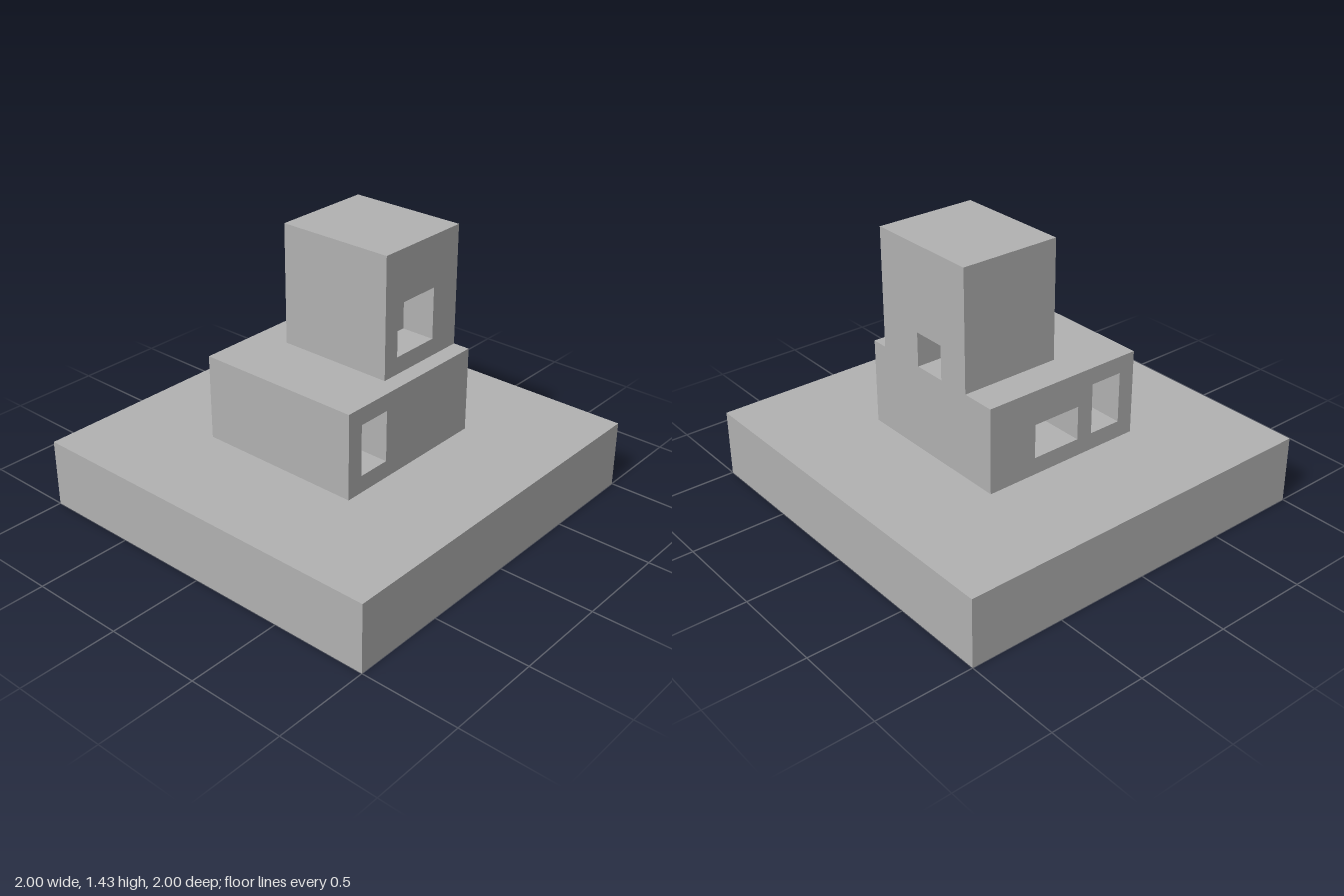
import * as THREE from 'three';

const U = 2 / 22.4; // module size: the walls and openings follow this grid

export function createModel() {
  const group = new THREE.Group();
  const grey = new THREE.MeshStandardMaterial({ color: 0xb2b2b2 });
  grey.name = 'stone grey';

  const add = (name, geometry) => {
    const mesh = new THREE.Mesh(geometry, grey);
    mesh.name = name;
    group.add(mesh);
    return mesh;
  };

  // Box from its lower and upper corners
  const box = (name, [x0, y0, z0], [x1, y1, z1]) =>
    add(name, new THREE.BoxGeometry(x1 - x0, y1 - y0, z1 - z0)
      .translate((x0 + x1) / 2, (y0 + y1) / 2, (z0 + z1) / 2));

  const corners = (x0, y0, x1, y1) =>
    [[x0, y0], [x1, y0], [x1, y1], [x0, y1]].map(([x, y]) => new THREE.Vector2(x, y));

  // Upright slab with rectangular openings, extruded along z
  const slab = (name, rect, openings, z0, z1) => {
    const shape = new THREE.Shape(corners(...rect));
    for (const o of openings) shape.holes.push(new THREE.Path(corners(...o)));
    const geometry = new THREE.ExtrudeGeometry(shape, { depth: z1 - z0, bevelEnabled: false });
    return add(name, geometry.translate(0, 0, z0));
  };

  const baseTop = 4 * U, blockTop = 9 * U, towerTop = 16 * U;

  // Square plinth
  box('base', [-1, 0, -1], [1, baseTop, 1]);

  // Lower block: passage right through, plus a shallow recess at the back
  const blockRect = [-5 * U, baseTop, 5 * U, blockTop];
  const passage = [-4 * U, 5 * U, -2 * U, 8 * U];
  const recess = [-U, 5 * U, 2 * U, 7 * U];
  slab('lowerBlockFront', blockRect, [passage], -2 * U, 5 * U);
  slab('lowerBlockBack', blockRect, [passage, recess], -5 * U, -2 * U);

  // Tower front wall with its square window
  slab('towerFront', [-U, blockTop, 5 * U, towerTop], [[0, 10 * U, 3 * U, 13 * U]], 2 * U, 4 * U);

  // Tower core
  box('towerCore', [-U, blockTop, -3 * U], [3 * U, towerTop, 2 * U]);

  // Tower side wall with a doorway cut up from its foot
  const side = [[-2, 9], [-1, 9], [-1, 11], [1, 11], [1, 9], [3, 9], [3, 16], [-2, 16]]
    .map(([z, y]) => new THREE.Vector2(z * U, y * U));
  const sideGeometry = new THREE.ExtrudeGeometry(new THREE.Shape(side), { depth: 2 * U, bevelEnabled: false });
  add('towerSide', sideGeometry.rotateY(Math.PI / 2).translate(3 * U, 0, 0));

  return group;
}
